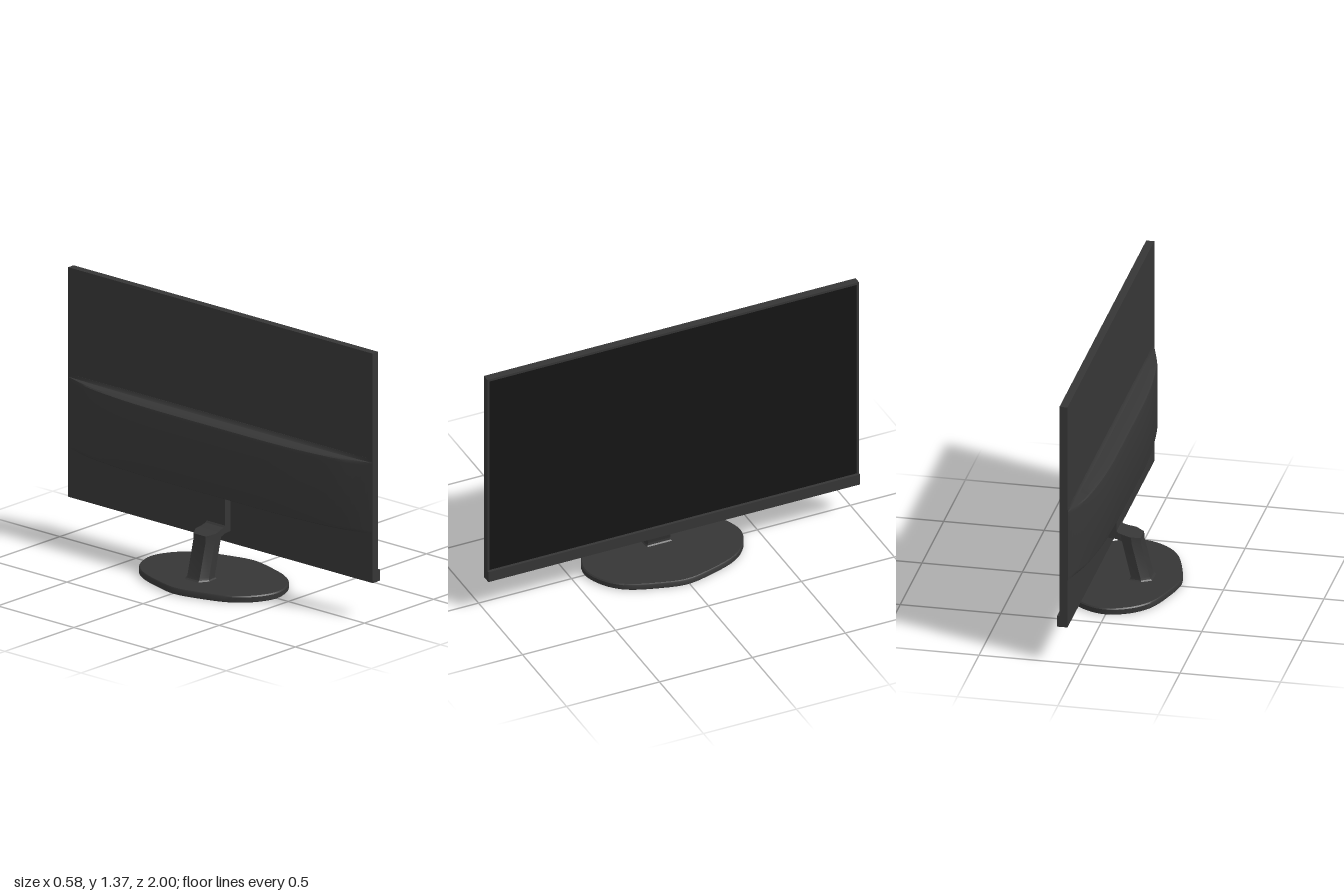
import * as THREE from 'three';
import { toCreasedNormals } from 'three/addons/utils/BufferGeometryUtils.js';

const bodyMat = new THREE.MeshStandardMaterial({ color: 0x363636, side: THREE.DoubleSide });
const screenMat = new THREE.MeshStandardMaterial({ color: 0x151515 });

function add(group, name, geometry, material = bodyMat) {
  const mesh = new THREE.Mesh(geometry, material);
  mesh.name = name;
  group.add(mesh);
  return mesh;
}

// Box given by its lower and upper corners
function box(x0, x1, y0, y1, z0, z1) {
  return new THREE.BoxGeometry(x1 - x0, y1 - y0, z1 - z0)
    .translate((x0 + x1) / 2, (y0 + y1) / 2, (z0 + z1) / 2);
}

// Skin through equal-length cross-sections of Vector3; each section is a closed loop, ends are capped
function loft(sections, crease = 0.5) {
  const n = sections[0].length, pos = [], index = [];
  sections.forEach(s => s.forEach(p => pos.push(p.x, p.y, p.z)));
  for (let i = 0; i < sections.length - 1; i++) {
    for (let j = 0; j < n; j++) {
      const a = i * n + j, b = i * n + (j + 1) % n;
      index.push(a, b, a + n, b, b + n, a + n);
    }
  }
  const last = (sections.length - 1) * n;
  for (let j = 1; j < n - 1; j++) {
    index.push(0, j + 1, j, last, last + j, last + j + 1);
  }
  const g = new THREE.BufferGeometry();
  g.setAttribute('position', new THREE.Float32BufferAttribute(pos, 3));
  g.setIndex(index);
  return toCreasedNormals(g, crease);
}

// Side profile in x,y extruded along z
function sideExtrude(points, z0, z1) {
  const shape = new THREE.Shape(points.map(p => new THREE.Vector2(...p)));
  return new THREE.ExtrudeGeometry(shape, { depth: z1 - z0, bevelEnabled: false }).translate(0, 0, z0);
}

function buildDisplay() {
  const g = new THREE.Group();
  g.name = 'display';
  add(g, 'backPanel', box(0.06, 0.09, 0.19, 1.365, -1, 1));
  add(g, 'screen', box(0.085, 0.096, 0.24, 1.357, -0.99, 0.99), screenMat);
  add(g, 'chin', box(0.06, 0.112, 0.19, 0.248, -1, 1));
  // Thin bezel strips around the screen
  add(g, 'topBezel', box(0.085, 0.1, 1.353, 1.365, -1, 1));
  for (const s of [-1, 1]) {
    const strip = add(g, s > 0 ? 'leftBezel' : 'rightBezel', box(0.085, 0.1, 0.24, 1.365, -0.006, 0.006));
    strip.position.z = s * 0.994;
  }
  return g;
}

// Bulged housing across the back, fading out towards both ends
function buildHousing() {
  const plan = new THREE.SplineCurve([
    [0, 0.095], [0.2, 0.095], [0.4, 0.093], [0.6, 0.082], [0.8, 0.058], [0.92, 0.026], [0.995, 0.001],
  ].map(p => new THREE.Vector2(...p)));
  const half = plan.getPoints(24);
  const stations = [...half.slice(1).reverse().map(p => [-p.x, p.y]), ...half.map(p => [p.x, p.y])];
  // Depth fraction and height: fillet at the top, rounded rear edges
  const profile = [
    [-0.05, 0.822], [0.02, 0.822], [0.06, 0.811], [0.14, 0.805], [0.86, 0.804], [0.96, 0.799], [1, 0.785],
    [1, 0.459], [0.96, 0.446], [0.86, 0.441], [-0.05, 0.439],
  ];
  return loft(stations.map(([z, d]) => profile.map(([f, y]) => new THREE.Vector3(0.06 - f * d, y, z))), 0.6);
}

function buildStand() {
  const g = new THREE.Group();
  g.name = 'stand';

  // Pointed oval foot
  const outline = [];
  const quarter = [[0.29, 0], [0.265, 0.13], [0.2, 0.3], [0.11, 0.385], [0, 0.42]];
  for (const [x, z] of quarter) outline.push([x, z]);
  for (const [x, z] of quarter.slice(0, 4).reverse()) outline.push([-x, z]);
  for (const [x, z] of quarter.slice(1)) outline.push([-x, -z]);
  for (const [x, z] of quarter.slice(1, 4).reverse()) outline.push([x, -z]);
  const curve = new THREE.CatmullRomCurve3(outline.map(([x, z]) => new THREE.Vector3(x, 0, z + 0.012)), true);
  const ring = curve.getPoints(72).slice(0, 72);
  const layers = [[0, 0.985], [0.005, 1], [0.028, 1], [0.034, 0.985]];
  add(g, 'foot', loft(layers.map(([y, s]) =>
    ring.map(p => new THREE.Vector3(p.x * s, y, 0.012 + (p.z - 0.012) * s))), 0.7));

  // Leaning leg with chamfered rear corners; each row: rear x, front x, rear y, front y, width scale
  const rows = [
    [-0.157, -0.043, 0.032, 0.032, 1.12], [-0.146, -0.05, 0.04, 0.04, 1.03], [-0.14, -0.051, 0.052, 0.052, 1],
    [-0.097, -0.007, 0.225, 0.236, 1], [-0.096, 0.0, 0.255, 0.274, 1],
  ];
  const plan = [[0, 0.04], [0.45, 0.066], [1, 0.06], [1, -0.06], [0.45, -0.066], [0, -0.04]];
  add(g, 'leg', loft(rows.map(([x0, x1, y0, y1, w]) => plan.map(([t, z]) =>
    new THREE.Vector3(x0 + (x1 - x0) * t, y0 + (y1 - y0) * t, 0.005 + z * w))), 0.3));

  // Arm joining the leg to the upright behind the panel
  add(g, 'arm', sideExtrude([
    [-0.03, 0.236], [-0.007, 0.236], [0.02, 0.247], [0.062, 0.25], [0.062, 0.46],
    [0.02, 0.46], [0.02, 0.288], [0.012, 0.279], [-0.03, 0.268],
  ], -0.055, 0.065));
  return g;
}

export function createModel() {
  const model = new THREE.Group();
  model.name = 'monitor';
  model.add(buildDisplay());
  add(model, 'rearHousing', buildHousing());
  model.add(buildStand());
  return model;
}
